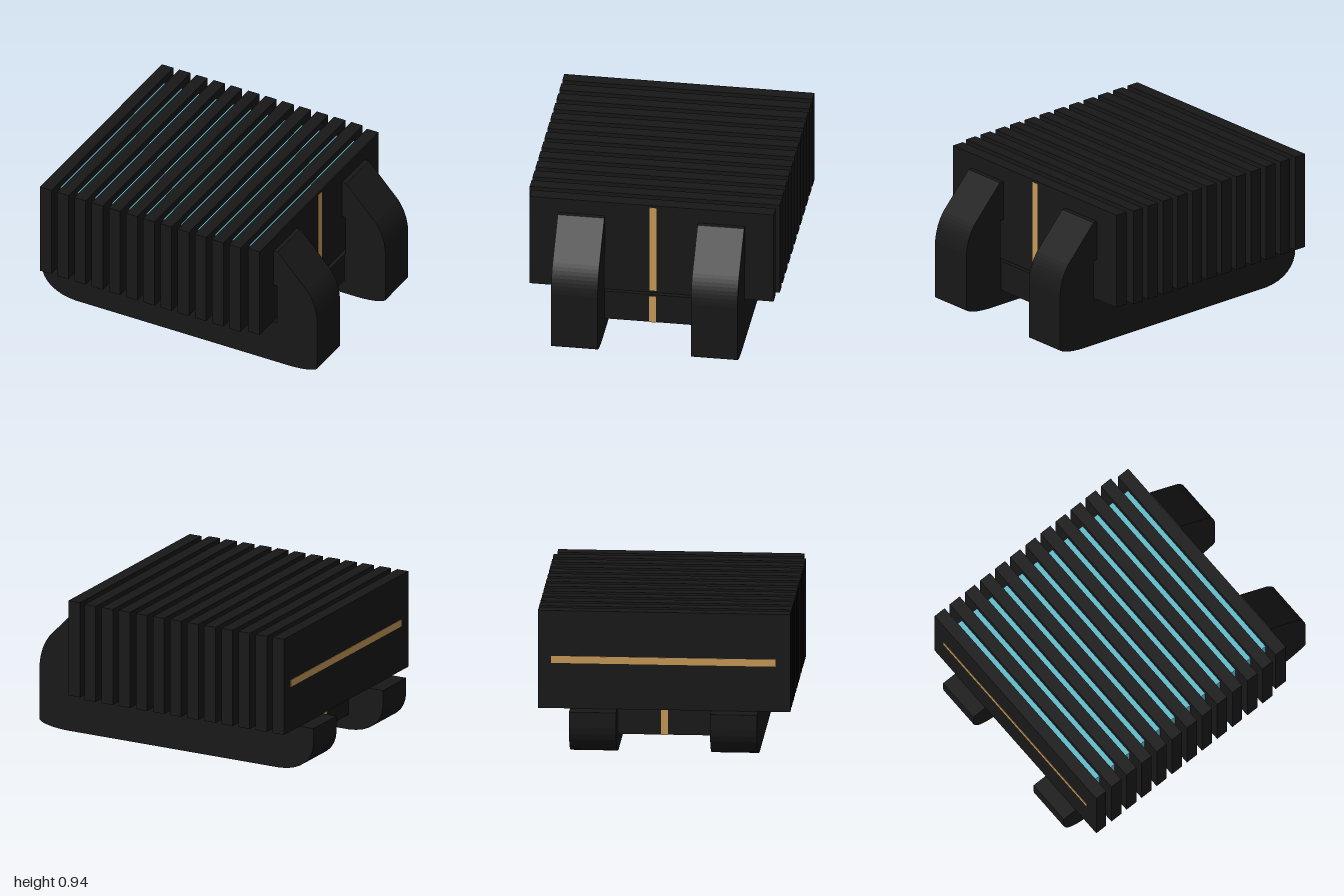
import * as THREE from 'three';

const black = new THREE.MeshStandardMaterial({ color: 0x181818, flatShading: true });
const blue = new THREE.MeshStandardMaterial({ color: 0x62bccb });
const brass = new THREE.MeshStandardMaterial({ color: 0xc89a58 });

export function createModel() {
  const model = new THREE.Group();

  // Box given by its min and max corners
  const box = (name, material, [x0, y0, z0], [x1, y1, z1]) => {
    const mesh = new THREE.Mesh(new THREE.BoxGeometry(x1 - x0, y1 - y0, z1 - z0), material);
    mesh.position.set((x0 + x1) / 2, (y0 + y1) / 2, (z0 + z1) / 2);
    mesh.name = name;
    model.add(mesh);
  };

  // Stack of upright plates with even gaps
  for (let i = 0; i < 12; i++) {
    const x = -0.9 + i * 0.125;
    box('plate', black, [x, 0.3, -0.805], [x + 0.082, 0.94, 0.805]);
  }
  box('endPlate', black, [0.6, 0.305, -0.785], [0.685, 0.94, 0.785]);

  // Coloured filling between neighbouring plates
  for (let i = 0; i < 12; i++) {
    const x = -0.818 + i * 0.125;
    box('filling', blue, [x, 0.345, -0.685], [x + 0.043, 0.892, 0.685]);
  }

  // Deck joining the two skids
  box('deck', black, [-0.75, 0.1, -0.3], [0.705, 0.3, 0.3]);

  // Skids: rounded runners that rise into a hook at one end
  const side = new THREE.Shape();
  side.moveTo(-1, 0.3);
  side.lineTo(-1, 0.2);
  side.bezierCurveTo(-1, 0.08, -0.9, 0.005, -0.75, 0);
  side.lineTo(0.8, 0);
  side.quadraticCurveTo(0.96, 0.005, 1, 0.04);
  side.lineTo(1, 0.42);
  side.quadraticCurveTo(0.99, 0.53, 0.93, 0.61);
  side.lineTo(0.715, 0.84);
  side.lineTo(0.685, 0.84);
  side.lineTo(0.685, 0.58);
  side.lineTo(0.71, 0.58);
  side.lineTo(0.71, 0.3);
  side.closePath();
  const skidGeometry = new THREE.ExtrudeGeometry(side, { depth: 0.3, bevelEnabled: false, curveSegments: 8 });
  for (const [name, z] of [['frontSkid', 0.3], ['backSkid', -0.6]]) {
    const skid = new THREE.Mesh(skidGeometry, black);
    skid.position.z = z;
    skid.name = name;
    model.add(skid);
  }

  // Thin inlaid strips on the outer faces
  const t = 0.003;
  box('endPlateStrip', brass, [0.68, 0.32, -0.03], [0.685 + t, 0.925, 0.015]);
  box('deckEndStrip', brass, [0.7, 0.1, -0.03], [0.705 + t, 0.288, 0.015]);
  box('deckBottomStrip', brass, [-0.75, 0.1 - t, -0.03], [0.705, 0.105, 0.015]);
  box('deckRearStrip', brass, [-0.75 - t, 0.1, -0.03], [-0.745, 0.288, 0.015]);
  box('rearPlateStrip', brass, [-0.9 - t, 0.597, -0.72], [-0.895, 0.643, 0.71]);

  return model;
}
